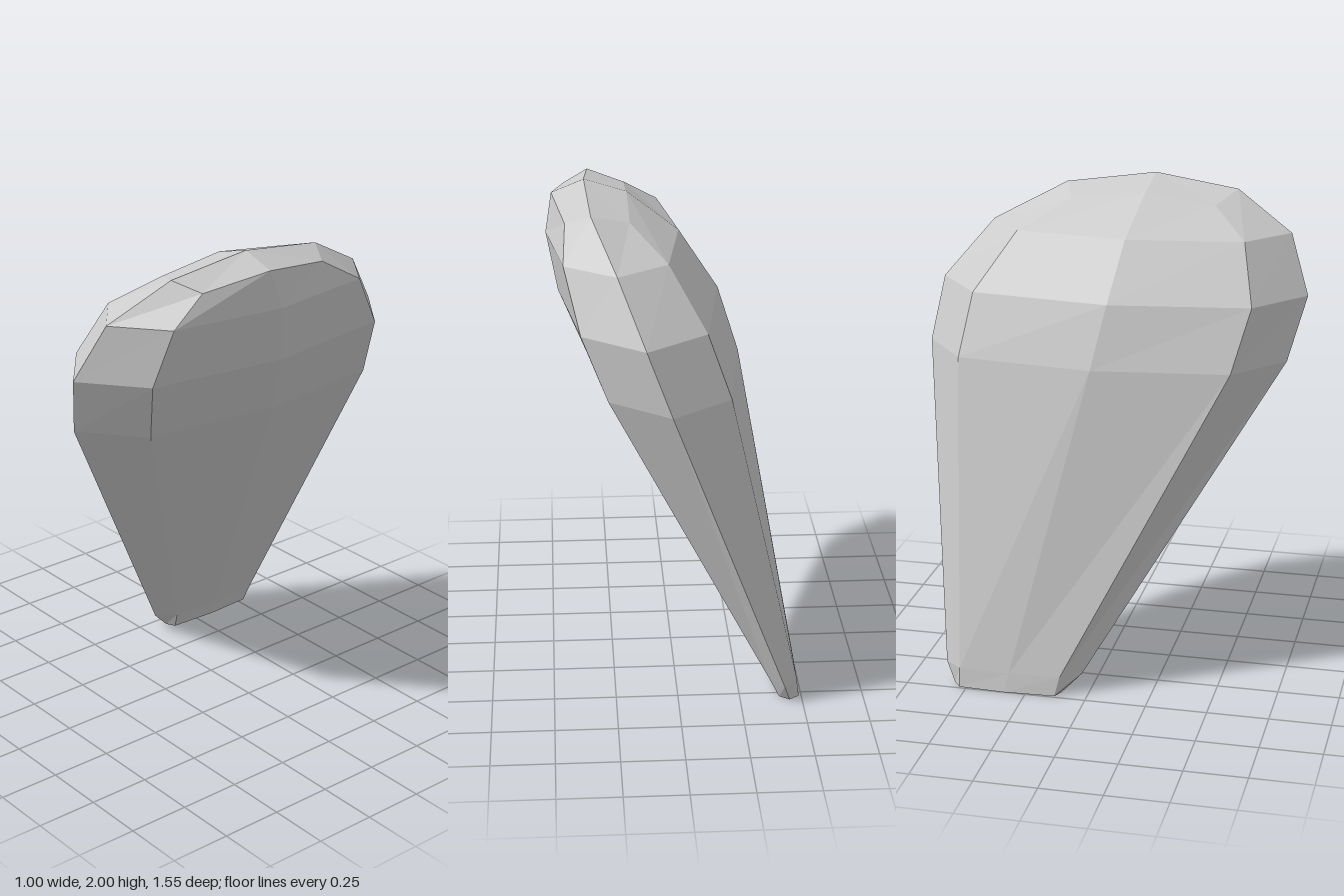
import * as THREE from 'three';

// Leaning faceted paddle, lofted from eight-sided rings.
// Each ring: height, centre x, half width at the shoulders and at the middle,
// then z of front ridge, front shoulder, middle, back shoulder, back ridge.
const RINGS = [
  { y: 0.00, x: -0.45, shoulder: 0.04, middle: 0.05, z: [-0.11, -0.13, -0.34, -0.53, -0.56] },
  { y: 0.08, x: -0.425, shoulder: 0.055, middle: 0.062, z: [-0.03, -0.11, -0.32, -0.53, -0.60] },
  { y: 1.32, x: 0.035, shoulder: 0.235, middle: 0.305, z: [0.71, 0.52, -0.03, -0.59, -0.775] },
  { y: 1.57, x: 0.13, shoulder: 0.24, middle: 0.32, z: [0.775, 0.585, 0.02, -0.55, -0.74] },
  { y: 1.80, x: 0.23, shoulder: 0.20, middle: 0.265, z: [0.69, 0.53, 0.06, -0.40, -0.55] },
  { y: 1.95, x: 0.32, shoulder: 0.125, middle: 0.15, z: [0.455, 0.387, 0.10, -0.207, -0.26], drop: 0.04, shift: -0.025 },
];
const TOP = [0.34, 2.0, 0.11];

// Eight points of a ring, running front -> left -> back -> right
function ringPoints({ y, x, shoulder, middle, z, drop = 0, shift = 0 }) {
  const side = (s) => [
    [x + shift + s * shoulder, y - drop, z[1]],
    [x + s * middle, y, z[2]],
    [x + shift + s * shoulder, y - drop, z[3]],
  ];
  return [[x, y, z[0]], ...side(1), [x, y, z[4]], ...side(-1).reverse()];
}

export function createModel() {
  const N = 8;
  const rings = RINGS.map(ringPoints);
  const positions = rings.flat(2);
  const index = [];

  // Side walls
  for (let i = 0; i < rings.length - 1; i++) {
    for (let j = 0; j < N; j++) {
      const k = (j + 1) % N;
      const a = i * N + j, b = i * N + k, c = a + N, d = b + N;
      index.push(a, b, d, a, d, c);
    }
  }

  // Domed top fan and flat foot
  const apex = positions.length / 3;
  positions.push(...TOP);
  const last = (rings.length - 1) * N;
  for (let j = 0; j < N; j++) index.push(last + j, last + ((j + 1) % N), apex);
  for (let j = 1; j < N - 1; j++) index.push(0, j + 1, j);

  const geometry = new THREE.BufferGeometry();
  geometry.setAttribute('position', new THREE.Float32BufferAttribute(positions, 3));
  geometry.setIndex(index);
  const flat = geometry.toNonIndexed();
  flat.computeVertexNormals();

  const paddle = new THREE.Mesh(
    flat,
    new THREE.MeshStandardMaterial({ color: 0xcccccc, flatShading: true })
  );
  paddle.name = 'paddle';

  const group = new THREE.Group();
  group.name = 'leaningPaddle';
  group.add(paddle);
  return group;
}
